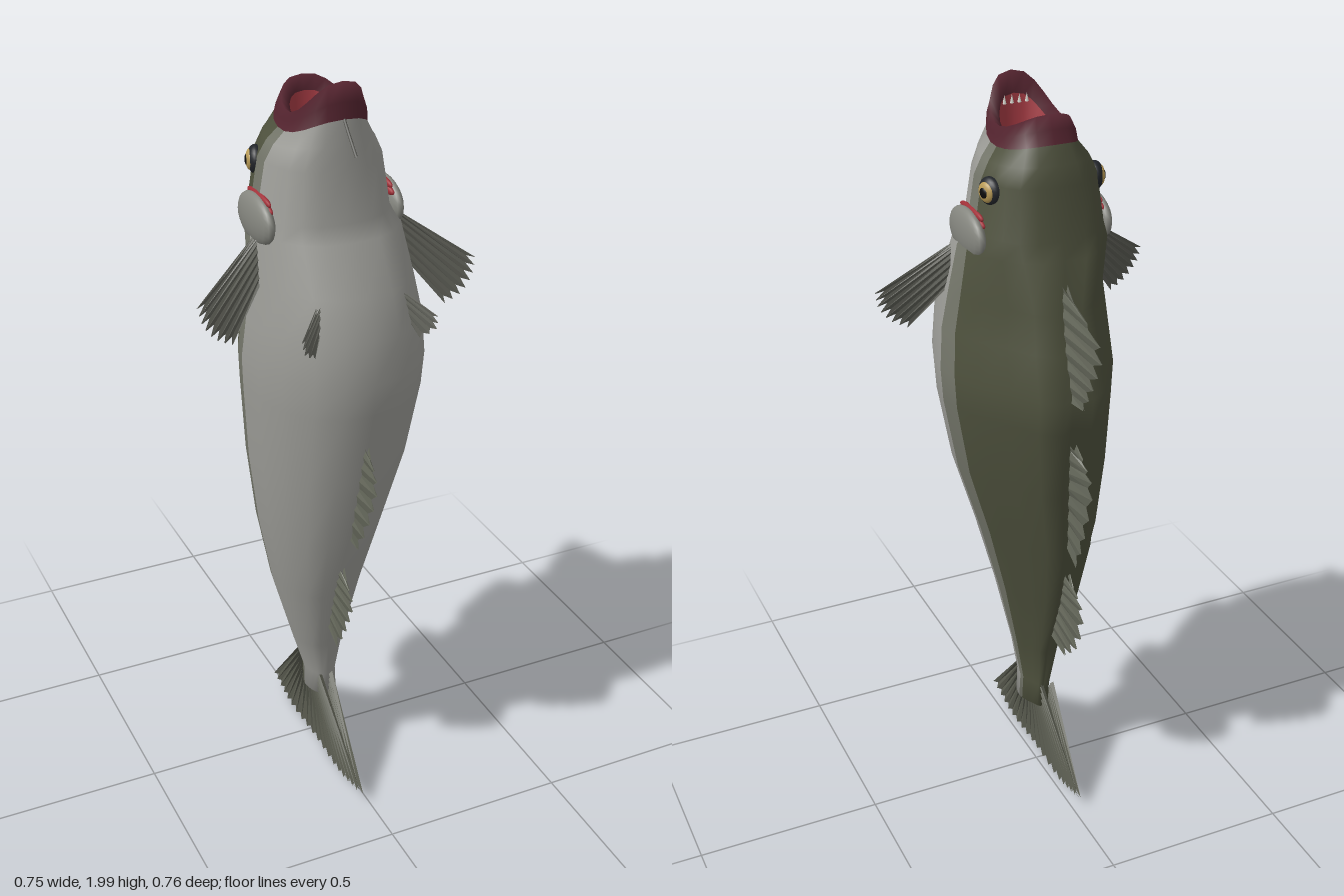
import * as THREE from 'three';

const V = (x, y, z) => new THREE.Vector3(x, y, z);
const { lerp, smoothstep } = THREE.MathUtils;
const mat = (color, flat = false) => new THREE.MeshStandardMaterial({ color, flatShading: flat, side: THREE.DoubleSide });

// Half cross-section of the trunk from the grooved back to the belly
const SECTION = [[0, -.9], [.17, -1], [.38, -.88], [.57, -.63], [.79, -.4], [.94, -.13],
  [1, .07], [.95, .33], [.83, .6], [.6, .83], [.33, .97], [0, 1]];

// Trunk rings: y, centre x, half width, belly z, back z
const TRUNK = [
  [.21, -.01, .043, .11, -.03],
  [.28, -.014, .042, .115, -.03],
  [.4, -.024, .07, .14, -.04],
  [.6, -.03, .12, .2, -.115],
  [.8, -.024, .165, .26, -.18],
  [1, -.007, .207, .3, -.22],
  [1.2, .004, .23, .332, -.25],
  [1.29, .005, .234, .342, -.26],
  [1.4, .004, .224, .33, -.222],
  [1.5, .003, .207, .296, -.195],
  [1.62, -.006, .194, .235, -.16],
  [1.66, -.012, .172, .212, -.13],
  [1.79, -.013, .15, .2, -.112],
];

// Mouth rings: y, half width, belly z, back z, lift of the jaws
const MOUTH = [
  [1.83, .128, .196, -.1, .02],
  [1.86, .102, .19, -.078, .05],
  [1.885, .1, .186, -.064, .065],
  [1.905, .088, .18, -.05, .093],
  [1.885, .066, .162, -.035, .06],
  [1.8, .06, .155, -.03, 0],
  [1.72, .05, .13, -.01, 0],
  [1.68, .001, .06, .055, 0],
];
const RINGS = [
  [.215, -.012, .001, .045, .035, 0],
  ...TRUNK.map(r => [...r, 0]),
  ...MOUTH.map(([y, ...r]) => [y, -.013, ...r]),
];
const N = 22, LIP = TRUNK.length + 2, THROAT = LIP + 3;

function bodyGeometry() {
  const pos = [], index = [];
  for (const [y, cx, hw, zf, zb, lift] of RINGS)
    for (let j = 0; j < N; j++) {
      // The section turns from the trunk outline into a rounded box at the head
      const k = Math.min(j, N - j), s = j <= 11 ? 1 : -1, a = k / 11 * Math.PI, h = smoothstep(y, 1.53, 1.7);
      const sx = lerp(SECTION[k][0], Math.max(0, Math.sin(a)) ** .75, h);
      const sz = lerp(SECTION[k][1], -Math.cos(a), h);
      pos.push(cx + s * sx * hw, y + lift * sz * sz * (sz > 0 ? 1 : .5), (zf + zb) / 2 + sz * (zf - zb) / 2);
    }
  const parts = { back: [], flank: [], belly: [], lips: [], throat: [] };
  for (let i = 0; i < RINGS.length - 1; i++)
    for (let j = 0; j < N; j++) {
      const a = i * N + j, b = i * N + (j + 1) % N, quad = [a, a + N, b, b, a + N, b + N];
      const k = Math.min(j, N - 1 - j);
      const part = i >= THROAT ? 'throat' : i >= LIP ? 'lips' : k < 5 ? 'back' : k < 6 ? 'flank' : 'belly';
      parts[part].push(...quad);
      index.push(...quad);
    }
  const g = new THREE.BufferGeometry();
  g.setAttribute('position', new THREE.Float32BufferAttribute(pos, 3));
  g.setIndex(index);
  g.computeVertexNormals();
  return { g, parts };
}

// Point sunk just below the spine (side -1) or keel (side 1) at height y
function onMidline(y, side) {
  const i = TRUNK.findIndex(r => r[0] > y), p = TRUNK[i - 1], q = TRUNK[i], t = (y - p[0]) / (q[0] - p[0]);
  const c = side > 0 ? 3 : 4;
  return V(lerp(p[1], q[1], t), y, lerp(p[c], q[c], t) - side * .035);
}

// Ribbed fin: rays run from a root curve to a tip curve, webbing is notched between them
function fin(name, color, roots, tips, rays, thick, notch) {
  const rc = new THREE.CatmullRomCurve3(roots), tc = new THREE.CatmullRomCurve3(tips);
  const count = rays * 2 - 1, pos = [];
  const n = rc.getPoint(1).sub(rc.getPoint(0)).cross(tc.getPoint(.5).sub(rc.getPoint(.5))).normalize();
  const station = (i, side) => {
    const u = i / (count - 1), ray = i % 2 === 0;
    const r = rc.getPoint(u), t = r.clone().lerp(tc.getPoint(u), ray ? 1 : notch);
    return [r.addScaledVector(n, side * thick * (ray ? 1 : .5)), t.addScaledVector(n, side * thick * (ray ? .15 : 0))];
  };
  for (const side of [1, -1])
    for (let i = 0; i < count - 1; i++) {
      const [a, d] = station(i, side), [b, c] = station(i + 1, side);
      const tri = side > 0 ? [a, b, c, a, c, d] : [a, c, b, a, d, c];
      tri.forEach(p => pos.push(p.x, p.y, p.z));
    }
  const g = new THREE.BufferGeometry();
  g.setAttribute('position', new THREE.Float32BufferAttribute(pos, 3));
  g.computeVertexNormals();
  const m = new THREE.Mesh(g, mat(color, true));
  m.name = name;
  return m;
}

function ball(name, color, r, p, scale) {
  const m = new THREE.Mesh(new THREE.SphereGeometry(r, 20, 14), mat(color));
  m.name = name;
  m.position.copy(p);
  m.scale.set(...scale);
  return m;
}

export function createModel() {
  const fish = new THREE.Group();
  fish.name = 'fish';

  // Body skin, lips and throat share one smooth surface
  const { g, parts } = bodyGeometry();
  const colors = { back: 0x4e513d, flank: 0x74766a, belly: 0x9c9c97, lips: 0x54242f, throat: 0xa33a42 };
  for (const [name, idx] of Object.entries(parts)) {
    const geo = new THREE.BufferGeometry();
    geo.setAttribute('position', g.attributes.position);
    geo.setAttribute('normal', g.attributes.normal);
    geo.setIndex(idx);
    const m = new THREE.Mesh(geo, mat(colors[name]));
    m.name = name;
    fish.add(m);
  }

  // Tongue and small teeth along the lower jaw
  fish.add(ball('tongue', 0xb85058, .02, V(-.013, 1.7, .055), [1, 1, 1.2]));
  for (let i = 0; i < 4; i++) {
    const tooth = new THREE.Mesh(new THREE.ConeGeometry(.005, .022, 6), mat(0xd8d8d0));
    tooth.name = 'tooth';
    tooth.position.set(-.043 + i * .02, 1.935, .15);
    fish.add(tooth);
  }

  // Chin barbel
  const barbelPath = new THREE.CatmullRomCurve3([V(-.012, 1.93, .17), V(-.012, 1.9, .195), V(-.012, 1.84, .252)]);
  const barbel = new THREE.Mesh(new THREE.TubeGeometry(barbelPath, 6, .004, 6), mat(0x4a4a44));
  barbel.name = 'barbel';
  fish.add(barbel);

  for (const s of [1, -1]) {
    // Eye: socket, iris and pupil stacked outwards
    const eye = new THREE.Group();
    eye.name = s > 0 ? 'leftEye' : 'rightEye';
    eye.add(ball('socket', 0x22252a, .036, V(0, 0, 0), [.6, 1, 1]));
    eye.add(ball('iris', 0xb89a55, .026, V(.013, 0, 0), [.45, 1, 1]));
    eye.add(ball('pupil', 0x0c0c0c, .014, V(.021, 0, 0), [.4, 1, 1]));
    eye.position.set(-.013 + s * .139, 1.77, -.012);
    eye.rotation.y = s > 0 ? .3 : Math.PI - .3;
    fish.add(eye);

    // Gill cover with red gills showing above its rim
    fish.add(ball('gillCover', 0x85867f, 1, V(-.01 + s * .17, 1.648, .055), [.026, .062, .1]));
    for (const r of [.08, .07])
      fish.add(ball('gill', 0xa03038, r, V(-.012 + s * .16, 1.805 - r * 1.5, .055), [.14, .2, 1]));

    // Paired fins
    fish.add(fin('pectoralFin', 0x5d5e56,
      [V(s * .195, 1.61, .08), V(s * .195, 1.5, .1)],
      [V(s * .375, 1.485, .15), V(s * .365, 1.44, .157), V(s * .335, 1.4, .16), V(s * .29, 1.375, .155)], 8, .009, .88));
    fish.add(fin('pelvicFin', 0x66675f,
      [V(s * .095, 1.5, .25), V(s * .115, 1.43, .275)],
      [V(s * .18, 1.43, .32), V(s * .175, 1.4, .325), V(s * .14, 1.375, .305)], 5, .006, .88));
  }

  // Median fins: name, side, root top and bottom y, tip points as [y, z]
  const median = [
    ['frontDorsalFin', -1, 1.57, 1.28, [[1.545, -.21], [1.47, -.375], [1.37, -.34], [1.28, -.285]]],
    ['middleDorsalFin', -1, 1.16, .83, [[1.13, -.26], [1.08, -.315], [.93, -.285], [.795, -.235]]],
    ['rearDorsalFin', -1, .73, .48, [[.69, -.17], [.645, -.23], [.52, -.205], [.44, -.125]]],
    ['frontAnalFin', 1, 1.13, .83, [[1.09, .345], [1.035, .385], [.92, .355], [.79, .285]]],
    ['rearAnalFin', 1, .73, .5, [[.685, .26], [.635, .3], [.54, .27], [.44, .21]]],
  ];
  for (const [name, side, top, bottom, tips] of median) {
    const roots = [top, (top + bottom) / 2, bottom].map(y => onMidline(y, side));
    fish.add(fin(name, 0x64675a, roots, tips.map(([y, z]) => V(roots[1].x, y, z)), 8, .011, .8));
  }

  // Tail fan
  const tailPoint = ([y, z]) => V(-.02, y, z);
  fish.add(fin('tailFin', 0x5c5e52,
    [[.285, .115], [.24, .08], [.235, .04], [.24, 0], [.285, -.03]].map(tailPoint),
    [[.035, .355], [.005, .22], [.01, .05], [.005, -.13], [.035, -.25]].map(tailPoint), 20, .02, .93));
  return fish;
}
